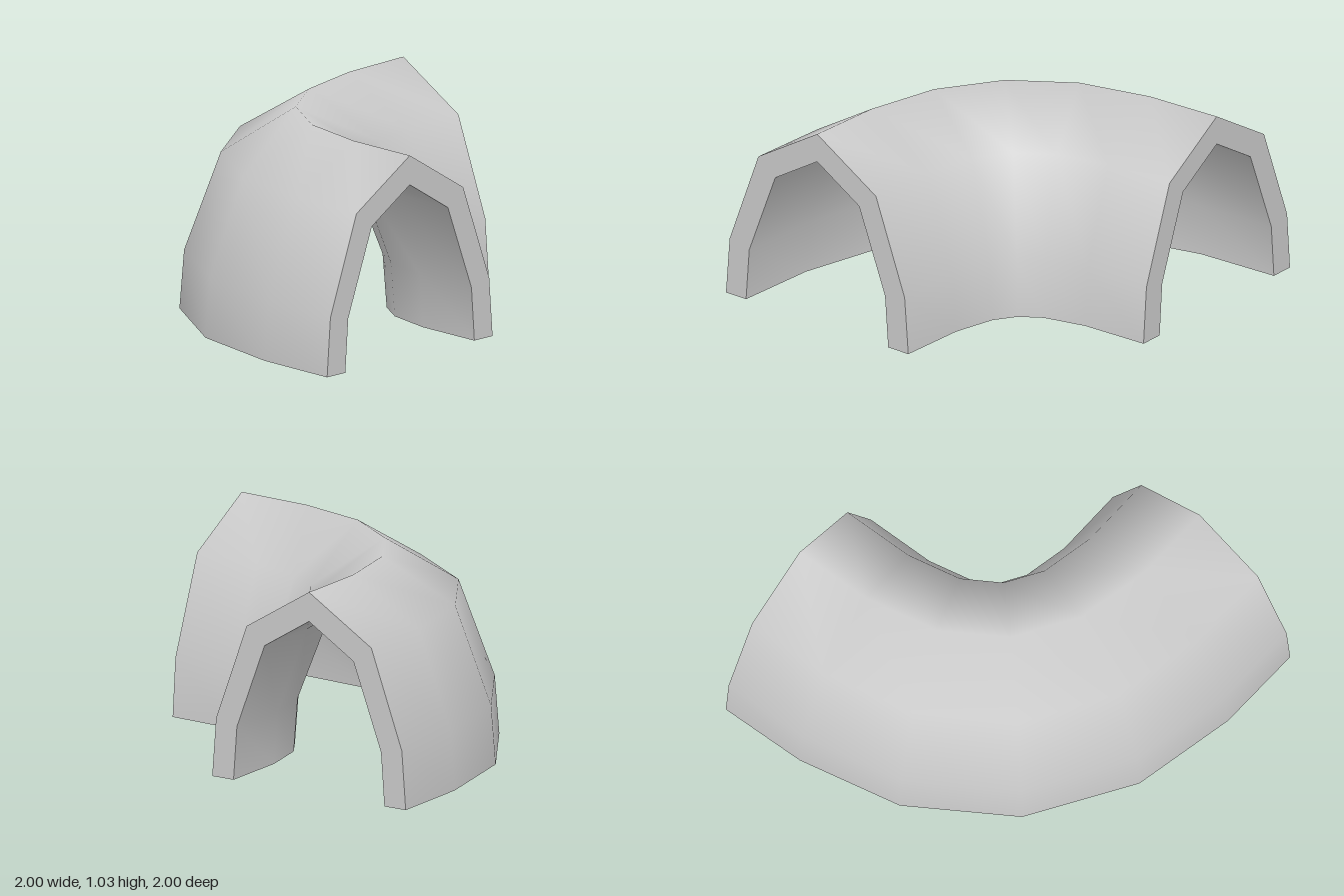
import * as THREE from 'three';

// Foot lines of the bend on the ground, as [x, z], from the back end to the left end
const outerRail = [[-1, -0.99], [-0.975, -0.535], [-0.845, 0], [-0.507, 0.507], [0, 0.845], [0.535, 0.975], [0.99, 1]];
const innerRail = [[0.17, -1], [0.185, -0.64], [0.238, -0.42], [0.31, -0.31], [0.42, -0.238], [0.64, -0.185], [1, -0.17]];

// Half profiles of the pointed arch: [offset from the middle / half width, height]
const mirrorProfile = half => [
  ...half.map(([u, y]) => [-u, y]),
  ...half.slice(0, -1).reverse(),
];
const outerArch = mirrorProfile([[1, 0], [0.96, 0.3], [0.645, 0.8], [0, 1.03]]);
const innerArch = mirrorProfile([[0.78, 0], [0.745, 0.275], [0.46, 0.715], [0, 0.88]]);

// Places a profile across the bend at station i
function section(profile, i) {
  const [ax, az] = outerRail[i], [bx, bz] = innerRail[i];
  return profile.map(([u, y]) => {
    const t = (u + 1) / 2;
    return [ax + (bx - ax) * t, y, az + (bz - az) * t];
  });
}

// Smooth surface through rows of points
function skin(rows) {
  const n = rows[0].length, index = [];
  for (let i = 0; i < rows.length - 1; i++) {
    for (let j = 0; j < n - 1; j++) {
      const a = i * n + j, b = a + n;
      index.push(a, b, a + 1, b, b + 1, a + 1);
    }
  }
  const g = new THREE.BufferGeometry();
  g.setAttribute('position', new THREE.Float32BufferAttribute(rows.flat(2), 3));
  g.setIndex(index);
  g.computeVertexNormals();
  return g;
}

export function createModel() {
  const model = new THREE.Group();
  model.name = 'curvedArchTunnel';
  const material = new THREE.MeshStandardMaterial({ color: 0xcccccc });
  const add = (name, rows) => {
    const mesh = new THREE.Mesh(skin(rows), material);
    mesh.name = name;
    model.add(mesh);
  };
  const sweep = profile => outerRail.map((_, i) => section(profile, i));
  const last = outerRail.length - 1, foot = outerArch.length - 1;

  // Vault surfaces
  add('outerVault', sweep(outerArch));
  add('innerVault', sweep([...innerArch].reverse()));

  // Undersides of the two walls
  add('insideBendFoot', sweep([outerArch[foot], innerArch[foot]]));
  add('outsideBendFoot', sweep([innerArch[0], outerArch[0]]));

  // Flat arch faces at both openings
  add('leftEndFace', [section(outerArch, last), section(innerArch, last)]);
  add('backEndFace', [section(innerArch, 0), section(outerArch, 0)]);
  return model;
}
